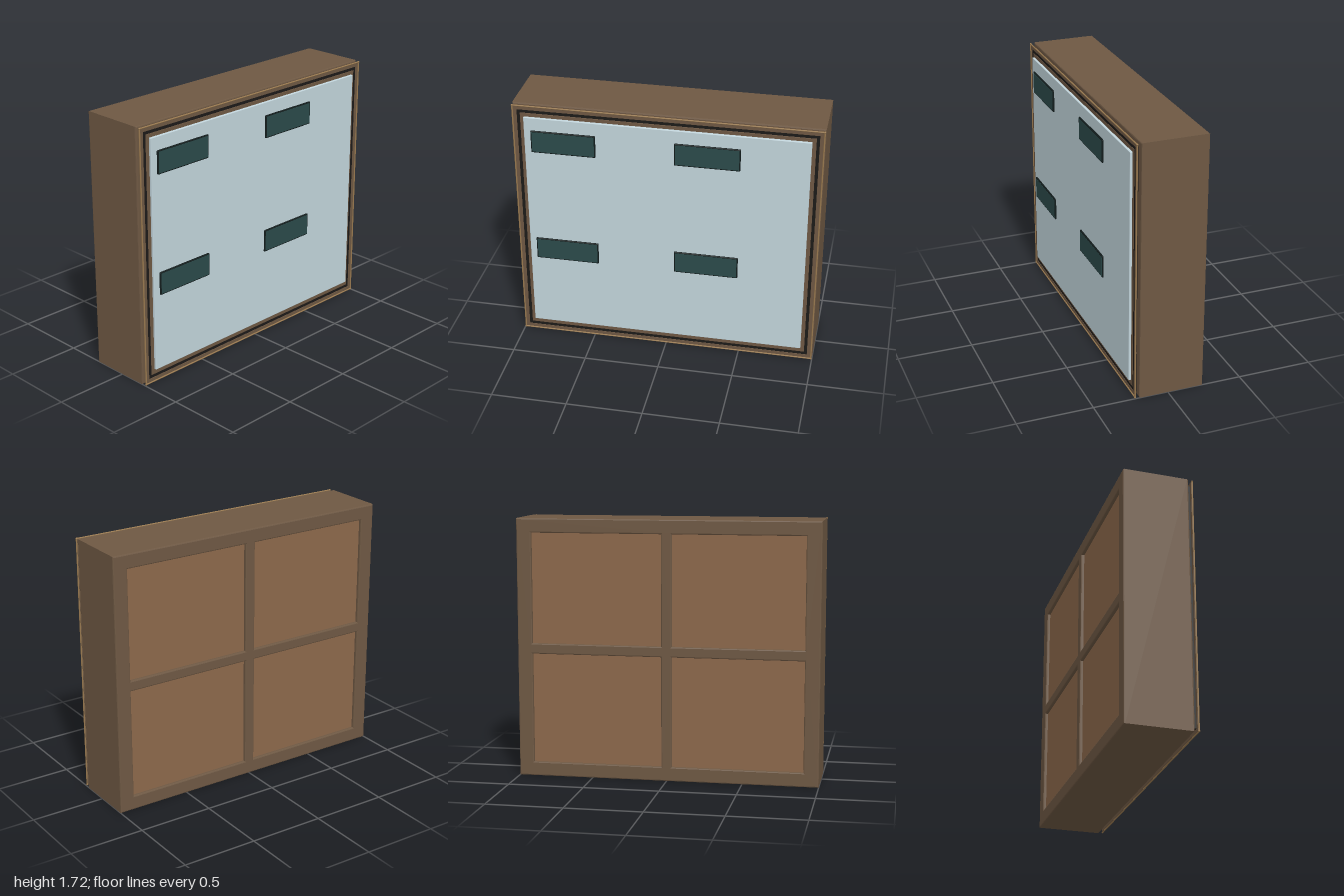
import * as THREE from 'three';
import { RoundedBoxGeometry } from 'three/addons/geometries/RoundedBoxGeometry.js';

const W = 2, H = 1.72, CY = H / 2;
const mat = (color) => new THREE.MeshStandardMaterial({ color });
const wood = mat(0x6e5843), backWood = mat(0x8c684b), brass = mat(0x9a7a50);
const rubber = mat(0x1c1a18), glass = mat(0xc2d5dc), teal = mat(0x2b4a4a), edge = mat(0x121c1c);

// Rectangle outline centred on (x, y)
function rect(Type, x, y, w, h) {
  const p = new Type();
  p.moveTo(x - w / 2, y - h / 2);
  p.lineTo(x + w / 2, y - h / 2);
  p.lineTo(x + w / 2, y + h / 2);
  p.lineTo(x - w / 2, y + h / 2);
  p.closePath();
  return p;
}

// Bevelled plate with rectangular holes between two depths
function plate(w, h, holes, z0, z1, bevel) {
  const shape = rect(THREE.Shape, 0, CY, w, h);
  for (const hole of holes) shape.holes.push(rect(THREE.Path, ...hole));
  const geo = new THREE.ExtrudeGeometry(shape, {
    depth: z1 - z0 - 2 * bevel, bevelEnabled: true, bevelSize: bevel,
    bevelThickness: bevel, bevelOffset: -bevel, bevelSegments: 2,
  });
  return geo.translate(0, 0, z0 + bevel);
}

export function createModel() {
  const group = new THREE.Group();
  const add = (name, geo, material, x = 0, y = 0, z = 0) => {
    const mesh = new THREE.Mesh(geo, material);
    mesh.name = name;
    mesh.position.set(x, y, z);
    group.add(mesh);
    return mesh;
  };

  // Case with four open compartments, closed by a recessed back panel
  const cells = [];
  for (const sx of [-1, 1]) for (const sy of [-1, 1]) {
    cells.push([sx * 0.468, CY + sy * 0.4, 0.865, 0.73]);
  }
  add('case', plate(W, H, cells, -0.24, 0.193, 0.008), wood);
  add('backPanel', new THREE.BoxGeometry(1.9, 1.62, 0.015), backWood, 0, CY, -0.212);

  // Door: wooden panel, dark seal around it and a glass pane in front
  add('doorFrame', plate(1.89, 1.61, [[0, CY, 1.7, 1.42]], 0.2, 0.219, 0.002), wood);
  add('doorSeal', plate(1.94, 1.66, [[0, CY, 1.88, 1.6]], 0.2, 0.217, 0.004), rubber);
  add('glassPane', new RoundedBoxGeometry(1.84, 1.55, 0.02, 2, 0.004), glass, 0, 0.865, 0.225);

  // Slim brass trim around the door, with a bead at each corner
  const r = 0.005, ex = W / 2 - 0.007, ey = H / 2 - 0.007;
  for (const s of [-1, 1]) {
    add('trimUpright', new THREE.CylinderGeometry(r, r, 2 * ey, 10), brass, s * ex, CY, 0.22);
    add('trimRail', new THREE.CylinderGeometry(r, r, 2 * ex, 10), brass, 0, CY + s * ey, 0.22)
      .rotation.z = Math.PI / 2;
    for (const t of [-1, 1]) {
      add('trimCorner', new THREE.SphereGeometry(0.007, 10, 8), brass, s * ex, CY + t * ey, 0.22);
    }
  }
  add('trimBacking', plate(1.982, 1.702, [[0, CY, 1.93, 1.65]], 0.213, 0.219, 0.001), wood);

  // Teal plaques with dark edges, and small pins behind the door
  for (const x of [-0.663, 0.27]) for (const y of [0.678, 1.476]) {
    add('plaqueEdge', new RoundedBoxGeometry(0.424, 0.154, 0.014, 2, 0.006), edge, x, y, 0.238);
    add('plaque', new THREE.BoxGeometry(0.408, 0.138, 0.012), teal, x, y, 0.2398);
    add('pin', new THREE.CylinderGeometry(0.015, 0.015, 0.03, 12), rubber, x + 0.38, y - 0.446, 0.193)
      .rotation.x = Math.PI / 2;
  }
  return group;
}
